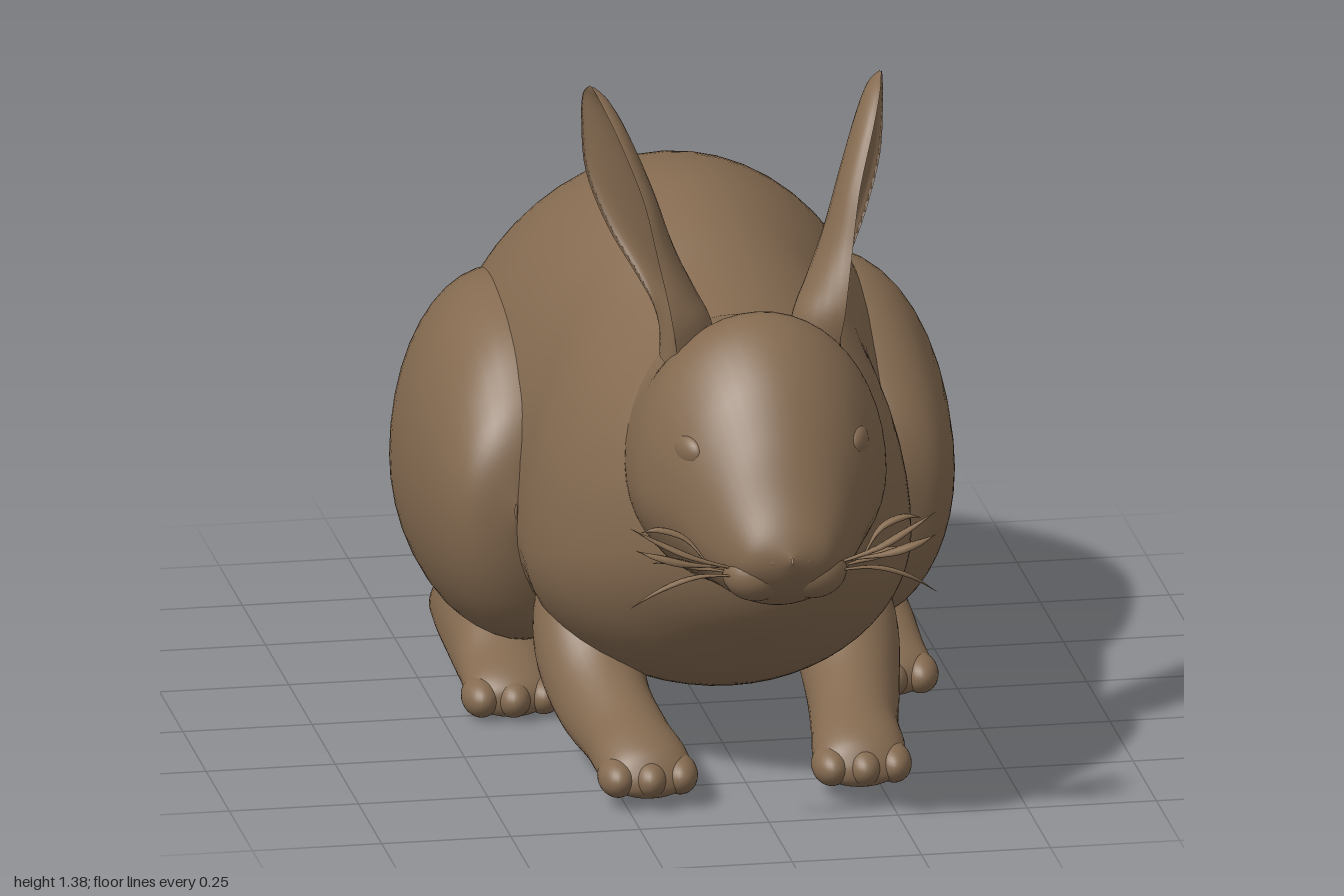
import * as THREE from 'three';

const V = (x, y, z) => new THREE.Vector3(x, y, z);

// Closed smooth skin over a list of equal-length point rings
function skin(rings) {
  const n = rings[0].length, pos = [], idx = [];
  rings.forEach(r => r.forEach(p => pos.push(p.x, p.y, p.z)));
  for (let i = 0; i < rings.length - 1; i++) {
    for (let j = 0; j < n; j++) {
      const k = (j + 1) % n, a = i * n + j, b = i * n + k;
      idx.push(a, b, a + n, b, b + n, a + n);
    }
  }
  const g = new THREE.BufferGeometry();
  g.setAttribute('position', new THREE.Float32BufferAttribute(pos, 3));
  g.setIndex(idx);
  g.computeVertexNormals();
  return g;
}

// Catmull-Rom interpolation of rows of numbers
function smoothRows(rows, steps) {
  const out = [], last = rows.length - 1;
  for (let s = 0; s <= last * steps; s++) {
    const i = Math.min(Math.floor(s / steps), last - 1), t = s / steps - i;
    const [a, b, c, d] = [-1, 0, 1, 2].map(o => rows[Math.min(Math.max(i + o, 0), last)]);
    out.push(b.map((_, k) => 0.5 * (2 * b[k] + (c[k] - a[k]) * t
      + (2 * a[k] - 5 * b[k] + 4 * c[k] - d[k]) * t * t
      + (3 * b[k] - a[k] - 3 * c[k] + d[k]) * t * t * t)));
  }
  return out;
}

// Egg-shaped sections along z: [z, centre x, half width, top, bottom, widest height]
function loft(rows, sides = 40) {
  return skin(smoothRows(rows, 6).map(([z, cx, w, top, bot, mid]) =>
    Array.from({ length: sides }, (_, j) => {
      const t = j / sides * Math.PI * 2, s = Math.sin(t);
      return V(cx + Math.max(w, 0.001) * Math.cos(t), mid + s * (s > 0 ? top - mid : mid - bot), z);
    })));
}

// Cupped ear, crescent sections: [y, front x, front z, back x, back z, depth, hollow]
function earGeometry() {
  const rows = [
    [0.88, 0.15, 0.63, 0.16, 0.50, 0.09, -0.2], [0.96, 0.165, 0.64, 0.175, 0.49, 0.09, 0.1],
    [1.02, 0.175, 0.63, 0.205, 0.455, 0.08, 0.4], [1.10, 0.19, 0.60, 0.25, 0.40, 0.07, 0.5],
    [1.20, 0.21, 0.565, 0.285, 0.36, 0.06, 0.5], [1.30, 0.245, 0.51, 0.292, 0.352, 0.045, 0.45],
    [1.355, 0.268, 0.455, 0.29, 0.358, 0.028, 0.3], [1.38, 0.28, 0.402, 0.282, 0.39, 0.003, 0]];
  return skin(smoothRows(rows, 5).map(([y, fx, fz, bx, bz, d, hollow]) => {
    const c = V((fx + bx) / 2, y, (fz + bz) / 2), u = V((bx - fx) / 2, 0, (bz - fz) / 2);
    const v = V(0, 1, 0).cross(u).normalize();
    return Array.from({ length: 28 }, (_, j) => {
      const t = j / 28 * Math.PI * 2, s = Math.sin(t);
      return c.clone().addScaledVector(u, Math.cos(t)).addScaledVector(v, d * (s > 0 ? s : -hollow * s));
    });
  }));
}

// Thin leaf-like strand following a curve
function strand(points, width) {
  const curve = new THREE.CatmullRomCurve3(points.map(p => V(...p)));
  return skin(Array.from({ length: 13 }, (_, i) => {
    const t = i / 12, p = curve.getPoint(t), dir = curve.getTangent(t);
    const u = V(0, 0, 1).addScaledVector(dir, -dir.z).normalize(), v = dir.clone().cross(u);
    const w = 0.001 + width * (0.25 + 0.75 * Math.sin(Math.PI * t) ** 2) * Math.min(1, (1 - t) * 5);
    return Array.from({ length: 8 }, (_, j) => {
      const a = j / 8 * Math.PI * 2;
      return p.clone().addScaledVector(u, w * Math.cos(a)).addScaledVector(v, w * 0.45 * Math.sin(a));
    });
  }));
}

export function createModel() {
  const fur = new THREE.MeshStandardMaterial({ color: 0x846a50 });
  fur.name = 'brown fur';
  const model = new THREE.Group();
  model.name = 'rabbit';
  const add = (parent, name, geometry) => {
    const m = new THREE.Mesh(geometry, fur);
    m.name = name;
    parent.add(m);
    return m;
  };
  const ball = (parent, name, [x, y, z], [sx, sy, sz]) => {
    const m = add(parent, name, new THREE.SphereGeometry(1, 28, 20));
    m.position.set(x, y, z);
    m.scale.set(sx, sy, sz);
    return m;
  };

  // Torso, rump to chest
  add(model, 'body', loft([
    [-0.885, 0, 0.002, 0.42, 0.40, 0.41], [-0.87, 0, 0.14, 0.54, 0.24, 0.38],
    [-0.82, 0, 0.26, 0.66, 0.13, 0.37], [-0.70, 0, 0.37, 0.80, 0.085, 0.38],
    [-0.50, 0, 0.43, 0.94, 0.08, 0.39], [-0.30, 0, 0.44, 1.01, 0.08, 0.40],
    [-0.12, 0, 0.41, 1.028, 0.08, 0.40], [0.05, 0, 0.37, 0.995, 0.09, 0.40],
    [0.20, 0, 0.37, 0.94, 0.11, 0.40], [0.35, 0, 0.345, 0.90, 0.15, 0.43],
    [0.48, 0, 0.29, 0.88, 0.21, 0.47], [0.58, 0, 0.22, 0.82, 0.30, 0.50],
    [0.65, 0, 0.12, 0.66, 0.39, 0.52], [0.68, 0, 0.002, 0.54, 0.52, 0.53]], 56));

  // Head, nape to nose
  add(model, 'head', loft([
    [0.20, 0, 0.002, 0.71, 0.69, 0.70], [0.24, 0, 0.12, 0.84, 0.55, 0.69],
    [0.35, 0, 0.20, 0.895, 0.46, 0.68], [0.50, 0, 0.235, 0.925, 0.42, 0.66],
    [0.62, 0, 0.245, 0.985, 0.435, 0.67], [0.70, 0, 0.235, 0.985, 0.455, 0.67],
    [0.80, 0, 0.195, 0.92, 0.47, 0.66], [0.88, 0, 0.15, 0.82, 0.48, 0.62],
    [0.94, 0, 0.11, 0.72, 0.51, 0.60], [0.98, 0, 0.07, 0.655, 0.555, 0.60],
    [1.0, 0, 0.002, 0.61, 0.60, 0.605]], 48));

  // Upturned tail
  ball(model, 'tail', [0, 0.215, -0.893], [0.115, 0.17, 0.075]).rotation.x = -0.5;

  // Paired parts, built on the left and mirrored
  for (const [side, sign] of [['left', 1], ['right', -1]]) {
    const half = new THREE.Group();
    half.name = side + 'Side';
    half.scale.x = sign;
    model.add(half);

    add(half, 'haunch', loft([
      [-0.80, 0.26, 0.002, 0.40, 0.36, 0.38], [-0.77, 0.27, 0.09, 0.52, 0.20, 0.35],
      [-0.68, 0.29, 0.15, 0.64, 0.12, 0.36], [-0.50, 0.31, 0.20, 0.74, 0.08, 0.38],
      [-0.30, 0.32, 0.21, 0.78, 0.08, 0.41], [-0.12, 0.32, 0.195, 0.74, 0.11, 0.42],
      [0, 0.33, 0.16, 0.65, 0.17, 0.43], [0.06, 0.36, 0.09, 0.56, 0.28, 0.43],
      [0.085, 0.37, 0.002, 0.45, 0.42, 0.435]]));

    add(half, 'hindFoot', loft([
      [-0.57, 0.36, 0.002, 0.06, 0.05, 0.055], [-0.55, 0.36, 0.06, 0.10, 0.025, 0.06],
      [-0.40, 0.36, 0.085, 0.20, 0.015, 0.08], [-0.20, 0.36, 0.09, 0.18, 0.01, 0.07],
      [-0.08, 0.36, 0.09, 0.125, 0.004, 0.06], [0, 0.365, 0.085, 0.10, 0.004, 0.05],
      [0.04, 0.365, 0.06, 0.075, 0.01, 0.04], [0.055, 0.365, 0.002, 0.05, 0.035, 0.042]]));

    add(half, 'frontLeg', loft([
      [-0.03, 0.25, 0.002, 0.26, 0.25, 0.255], [0, 0.25, 0.05, 0.35, 0.16, 0.25],
      [0.10, 0.25, 0.09, 0.36, 0.10, 0.23], [0.20, 0.25, 0.10, 0.32, 0.06, 0.18],
      [0.32, 0.24, 0.09, 0.22, 0.03, 0.11], [0.45, 0.22, 0.085, 0.165, 0.02, 0.08],
      [0.55, 0.21, 0.09, 0.14, 0.02, 0.07], [0.61, 0.205, 0.08, 0.115, 0.02, 0.06],
      [0.64, 0.205, 0.05, 0.08, 0.03, 0.05], [0.65, 0.205, 0.002, 0.055, 0.05, 0.052]]));

    // Toes
    for (const k of [-1, 0, 1]) {
      const back = 0.012 * Math.abs(k);
      ball(half, 'hindToe', [0.365 + k * 0.06, 0.042, 0.015 - back], [0.036, 0.038, 0.06]);
      ball(half, 'frontToe', [0.207 + k * 0.06, 0.06, 0.605 - back], [0.036, 0.038, 0.06]);
    }

    add(half, 'ear', earGeometry());

    // Eye bulge, cheek pad and nostril
    ball(half, 'eye', [0.162, 0.77, 0.79], [0.022, 0.032, 0.045]).rotation.y = -0.4;
    ball(half, 'muzzle', [0.055, 0.56, 0.915], [0.065, 0.055, 0.06]);
    ball(half, 'nostril', [0.03, 0.60, 0.975], [0.022, 0.016, 0.018]);

    // Whisker tuft
    const strands = [
      [[[0.07, 0.565, 0.93], [0.18, 0.60, 0.93], [0.24, 0.625, 0.91], [0.295, 0.655, 0.90]], 0.012],
      [[[0.07, 0.56, 0.94], [0.17, 0.565, 0.94], [0.24, 0.54, 0.93], [0.295, 0.50, 0.91]], 0.009],
      [[[0.13, 0.58, 0.93], [0.20, 0.595, 0.95], [0.25, 0.61, 0.95], [0.29, 0.62, 0.93]], 0.015],
      [[[0.15, 0.585, 0.93], [0.19, 0.63, 0.90], [0.24, 0.645, 0.885], [0.27, 0.64, 0.88]], 0.012],
      [[[0.12, 0.57, 0.93], [0.17, 0.575, 0.91], [0.21, 0.585, 0.90], [0.25, 0.58, 0.89]], 0.014]];
    strands.forEach(([points, width]) => add(half, 'whisker', strand(points, width)));
  }
  return model;
}
